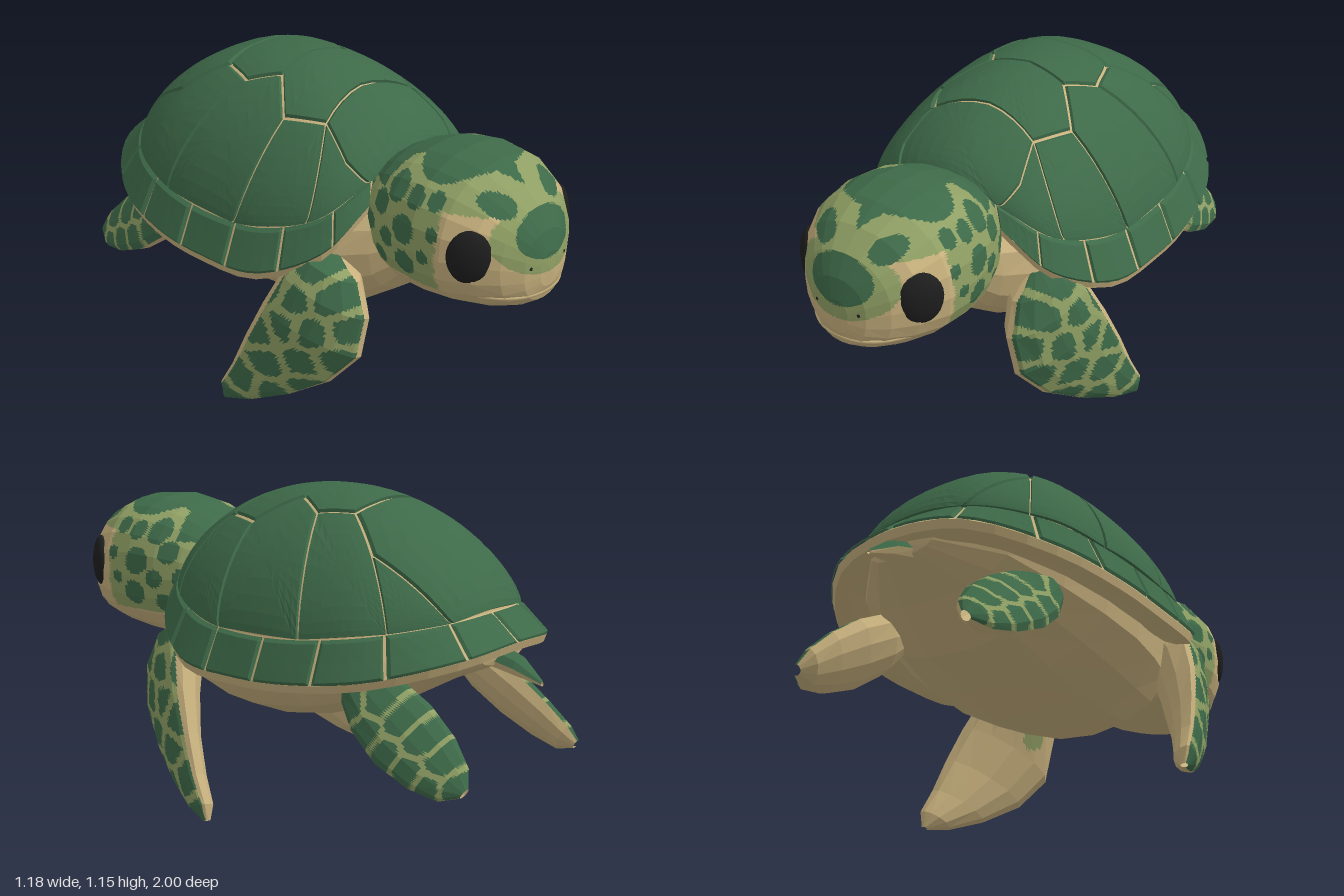
import * as THREE from 'three';

const V = (x, y, z) => new THREE.Vector3(x, y, z);
const lerp = (a, b, t) => a.clone().lerp(b, t);
const steps = (n, f) => Array.from({ length: n + 1 }, (_, k) => f(k / n));

// Faceted skin over rows of points; rule(p, row, column) picks a material per small triangle
function skin(name, rows, mats, { rule = null, n = 1, ref = null } = {}) {
  if (!ref) {
    ref = V(0, 0, 0);
    const all = rows.flat();
    all.forEach(p => ref.addScaledVector(p, 1 / all.length));
  }
  const tris = [];
  for (let i = 0; i < rows.length - 1; i++) {
    for (let j = 0; j < rows[0].length - 1; j++) {
      const [a, b, c, d] = [[i, j], [i + 1, j], [i + 1, j + 1], [i, j + 1]].map(([r, s]) => ({ p: rows[r][s], r, s }));
      tris.push([a, b, c], [a, c, d]);
    }
  }
  const solid = tris.filter(([a, b, c]) => b.p.clone().sub(a.p).cross(c.p.clone().sub(a.p)).length() > 1e-8);
  let volume = 0;
  for (const [a, b, c] of solid) {
    const [x, y, z] = [a, b, c].map(q => q.p.clone().sub(ref));
    volume += x.dot(y.cross(z));
  }
  const buckets = mats.map(() => []);
  for (const t of solid) {
    const [A, B, C] = volume < 0 ? [t[0], t[2], t[1]] : t;
    const at = (u, v) => ({
      p: A.p.clone().multiplyScalar(1 - (u + v) / n).addScaledVector(B.p, u / n).addScaledVector(C.p, v / n),
      r: A.r + ((B.r - A.r) * u + (C.r - A.r) * v) / n,
      s: A.s + ((B.s - A.s) * u + (C.s - A.s) * v) / n,
    });
    const put = (...q) => {
      const mid = k => (q[0][k] + q[1][k] + q[2][k]) / 3;
      const centre = q[0].p.clone().add(q[1].p).add(q[2].p).divideScalar(3);
      const k = rule ? rule(centre, mid('r'), mid('s')) : 0;
      q.forEach(e => buckets[k].push(e.p.x, e.p.y, e.p.z));
    };
    for (let u = 0; u < n; u++) {
      for (let v = 0; v < n - u; v++) {
        put(at(u, v), at(u + 1, v), at(u, v + 1));
        if (u + v < n - 1) put(at(u + 1, v), at(u + 1, v + 1), at(u, v + 1));
      }
    }
  }
  const geo = new THREE.BufferGeometry();
  geo.setAttribute('position', new THREE.Float32BufferAttribute(buckets.flat(), 3));
  let start = 0;
  buckets.forEach((b, k) => {
    if (b.length) geo.addGroup(start, b.length / 3, k);
    start += b.length / 3;
  });
  geo.computeVertexNormals();
  const mesh = new THREE.Mesh(geo, rule ? mats : mats[0]);
  mesh.name = name;
  return mesh;
}

// Rounded section: top and bottom may differ, power > 2 is boxier
function section(z, hx, cy, top, bottom, count, power) {
  const bend = v => Math.sign(v) * Math.abs(v) ** (2 / power);
  return steps(count, t => {
    const a = t * Math.PI * 2, s = bend(Math.sin(a));
    return V(hx * bend(Math.cos(a)), cy + s * (s > 0 ? top - cy : cy - bottom), z);
  });
}

// True on the light seams between cells around the seed points
function onSeam(seeds, a, b, width) {
  const d = seeds.map(([x, y]) => Math.hypot(a - x, b - y)).sort((p, q) => p - q);
  return d[1] - d[0] < width;
}

export function createModel() {
  const model = new THREE.Group();
  model.name = 'turtle';
  const paint = (name, color, side = THREE.FrontSide) => {
    const m = new THREE.MeshStandardMaterial({ color, side });
    m.name = name;
    return m;
  };
  const dark = paint('dark green', 0x3e6a49), light = paint('light green', 0x8f9f64);
  const tan = paint('tan', 0xc8b17e, THREE.DoubleSide), black = paint('black', 0x1e1e1e);
  const DARK = 0, LIGHT = 1, TAN = 2, skinMats = [dark, light, tan];

  // Shell outlines, from front centre round the left side to the back
  const ring = half => new THREE.CatmullRomCurve3(
    [...half, ...half.slice(1, -1).reverse().map(([x, y, z]) => [-x, y, z])].map(p => V(...p)), true);
  const base = ring([[0, 0.935, 0.37], [0.21, 0.87, 0.36], [0.36, 0.78, 0.3], [0.46, 0.71, 0.12], [0.495, 0.69, -0.1],
    [0.485, 0.7, -0.35], [0.41, 0.73, -0.58], [0.23, 0.76, -0.75], [0, 0.77, -0.79]]);
  const outer = ring([[0, 0.91, 0.385], [0.25, 0.79, 0.39], [0.4, 0.66, 0.335], [0.53, 0.56, 0.14], [0.56, 0.545, -0.1],
    [0.555, 0.555, -0.35], [0.48, 0.59, -0.62], [0.27, 0.655, -0.85], [0, 0.68, -0.9]]);
  const core = V(0, 0.68, -0.15);
  const dome = (u, v, lift = 0) => {
    const r = Math.hypot(u, v) * Math.PI / 2, t = (Math.atan2(u, v) / (2 * Math.PI) + 1) % 1;
    const b = base.getPoint(t), s = Math.sin(r), c = Math.max(0, Math.cos(r)) ** 1.45;
    const p = V(b.x * s, b.y + (1.138 - b.y) * c, core.z + (b.z - core.z) * s);
    return p.addScaledVector(p.clone().sub(core).normalize(), lift);
  };

  // Tan bed that shows in the seams, and the rim with its thick underside
  model.add(skin('shellBed', steps(14, r => steps(48, t =>
    dome(r * Math.sin(t * 2 * Math.PI), r * Math.cos(t * 2 * Math.PI)))), [tan], { ref: core }));
  const rim = [t => base.getPoint(t), t => outer.getPoint(t),
    t => lerp(outer.getPoint(t), core, 0.015).add(V(0, -0.03, 0)),
    t => lerp(outer.getPoint(t), core, 0.1).add(V(0, -0.04, 0)),
    t => lerp(outer.getPoint(t), core, 0.35).add(V(0, -0.01, 0))];
  model.add(skin('shellRim', rim.map(f => steps(48, f)), [tan], { ref: core }));

  // Scutes on the dome, as polygons on a unit disc (front is +v)
  const edge = k => [1.02 * Math.sin(k * Math.PI / 8), 1.02 * Math.cos(k * Math.PI / 8)];
  const N = [edge(0.95), [0.36, 0.6], [0.28, 0.36], [0.37, 0.17], [0.2, 0.03], [0.28, -0.09], [0.2, -0.21], [0.34, -0.4], edge(7.15)];
  const R = [edge(2.3), edge(3.6), edge(5), edge(6.25)];
  const flip = poly => poly.map(([u, v]) => [-u, v]);
  const scute = (name, poly) => {
    const c = [0, 1].map(k => poly.reduce((s, p) => s + p[k], 0) / poly.length);
    const border = poly.flatMap((p, i) => {
      const q = poly[(i + 1) % poly.length];
      return steps(8, t => [p[0] + (q[0] - p[0]) * t, p[1] + (q[1] - p[1]) * t]).slice(0, -1);
    });
    border.push(border[0]);
    const rows = [0, 0.2, 0.4, 0.6, 0.8, 0.95, 0.98].map((f, k) => border.map(([u, v]) =>
      dome(c[0] + (u - c[0]) * f, c[1] + (v - c[1]) * f, k === 6 ? 0.001 : 0.012)));
    model.add(skin(name, rows, [dark], { ref: core }));
  };
  for (const k of [0, 2, 4, 6]) {
    const half = N.slice(k, k + 3);
    scute('centreScute', [...half, ...flip(half).reverse()]);
  }
  const costals = [[N[0], N[1], N[2], R[0]], [R[0], N[2], N[3], R[1]], [R[1], N[3], N[4], N[5], R[2]],
    [R[2], N[5], N[6], N[7], R[3]], [R[3], N[7], N[8]]];
  costals.forEach(poly => { scute('leftScute', poly); scute('rightScute', flip(poly)); });

  // Plates round the rim
  const plates = 18;
  for (let i = 0; i < plates; i++) {
    const rows = [0.03, 0.1, 0.5, 0.9, 0.99].map((s, a) => [0.02, 0.06, 0.28, 0.5, 0.72, 0.94, 0.98].map((f, b) => {
      const t = (i + f) / plates, p = lerp(base.getPoint(t), outer.getPoint(t), s);
      const lift = a % 4 && b % 6 ? 0.014 : 0.002;
      return p.addScaledVector(p.clone().sub(core).normalize(), lift);
    }));
    model.add(skin('rimPlate', rows, [dark], { ref: core }));
  }

  // Belly and neck
  const belly = [[0.54, 0.02, 0.66, 0.68, 0.64], [0.52, 0.17, 0.68, 0.82, 0.56], [0.42, 0.26, 0.64, 0.84, 0.43],
    [0.3, 0.35, 0.62, 0.82, 0.345], [0.12, 0.42, 0.62, 0.82, 0.31], [-0.06, 0.46, 0.62, 0.82, 0.31], [-0.26, 0.46, 0.62, 0.82, 0.345],
    [-0.46, 0.42, 0.63, 0.8, 0.41], [-0.66, 0.33, 0.65, 0.74, 0.52], [-0.84, 0.14, 0.65, 0.69, 0.6], [-0.86, 0.01, 0.65, 0.66, 0.64]];
  model.add(skin('belly', belly.map(s => section(...s, 16, 2.25)), [tan]));

  // Head
  const headRows = [[0.33, 0.01, 0.75, 0.76, 0.74], [0.34, 0.2, 0.76, 0.93, 0.56], [0.42, 0.25, 0.76, 0.98, 0.52], [0.52, 0.285, 0.76, 1.02, 0.505],
    [0.64, 0.3, 0.76, 1.04, 0.515], [0.76, 0.29, 0.76, 1.03, 0.53], [0.86, 0.245, 0.76, 0.985, 0.545], [0.93, 0.18, 0.75, 0.92, 0.565],
    [0.975, 0.11, 0.735, 0.85, 0.595], [0.995, 0.05, 0.72, 0.78, 0.65], [1, 0.001, 0.715, 0.716, 0.714]].map(s => section(...s, 24, 2.3));
  const cheekSpots = [[0.7, 0.94, 0.03], [0.72, 0.84, 0.025], [0.6, 0.82, 0.05], [0.52, 0.76, 0.035], [0.61, 0.7, 0.045], [0.47, 0.86, 0.04],
    [0.48, 0.67, 0.035], [0.53, 0.93, 0.045], [0.41, 0.77, 0.035], [0.62, 0.93, 0.035], [0.69, 0.75, 0.025]];
  const inOval = (a, b, ra, rb) => (a / ra) ** 2 + (b / rb) ** 2 < 1;
  model.add(skin('head', headRows, skinMats, { n: 8, rule: p => {
    const x = Math.abs(p.x);
    if (p.z > 0.8 && inOval(x, p.y - 0.84, 0.125, 0.08)) return DARK;
    if (p.z > 0.78 && inOval(x - 0.125, p.y - 0.945, 0.052, 0.036)) return DARK;
    if (p.y > 0.93 && (inOval(x, p.z - 0.65, 0.2, 0.14) || (p.z > 0.7 && x < (0.87 - p.z) * 0.55))) return DARK;
    if (p.y > 0.9 && (p.z < 0.52 - x * 0.3 || (x < 0.1 && p.z < 0.65))) return DARK;
    if (x > 0.17 && cheekSpots.some(([z, y, r]) => Math.hypot(p.z - z, p.y - y) < r)) return DARK;
    if (p.z > 0.8 && inOval(x, p.y - 0.83, 0.2, 0.12)) return LIGHT;
    return p.y > 0.92 || (p.z < 0.74 && p.y > 0.63) ? LIGHT : TAN;
  } }));

  // Lip along the mouth
  const lipHalf = [[0.2, 0.635, 0.86], [0.143, 0.63, 0.928], [0.077, 0.628, 0.97]];
  const lipPath = new THREE.CatmullRomCurve3([...lipHalf, [0, 0.628, 0.983],
    ...lipHalf.map(([x, y, z]) => [-x, y, z]).reverse()].map(p => V(...p)));
  const lip = new THREE.Mesh(new THREE.TubeGeometry(lipPath, 20, 0.008, 6), tan);
  lip.name = 'lip';
  model.add(lip);

  // Flippers: spine points [x, y, z, half width, half thickness], patterned outside, tan and fuller inside
  const flipper = (name, side, spine, across, seeds, width, tanEdge) => {
    const U = V(...across).normalize(), first = spine[1], last = spine[spine.length - 1];
    const L = V(last[0] - first[0], last[1] - first[1], last[2] - first[2]);
    const W = U.clone().cross(L).normalize();
    const rows = spine.map(([x, y, z, w, h]) => steps(12, t => {
      const s = Math.sin(t * 2 * Math.PI);
      const p = V(x, y, z).addScaledVector(U, w * Math.cos(t * 2 * Math.PI)).addScaledVector(W, h * s * (s < 0 ? 1.6 : 1));
      p.x *= side;
      return p;
    }));
    model.add(skin(name, rows, skinMats, { n: 8, rule: (p, r, s) => {
      const a = (s / 12) * 2 * Math.PI, inner = Math.sin(a) < tanEdge;
      if (inner) return r < 3 && Math.sin(a) < -0.3 && Math.hypot(p.z - 0.32, p.y - 0.4) < 0.04 ? LIGHT : TAN;
      return onSeam(seeds, p.z, p.y, width) ? LIGHT : DARK;
    } }));
  };
  const frontSpine = [[0.32, 0.64, 0.31, 0.03, 0.03], [0.35, 0.6, 0.325, 0.12, 0.075], [0.385, 0.5, 0.34, 0.17, 0.075], [0.425, 0.36, 0.31, 0.195, 0.065],
    [0.47, 0.23, 0.235, 0.17, 0.05], [0.515, 0.12, 0.14, 0.115, 0.04], [0.55, 0.045, 0.05, 0.065, 0.03], [0.565, 0.005, 0.005, 0.01, 0.01]];
  const frontCells = [[0.33, 0.62], [0.41, 0.52], [0.28, 0.5], [0.2, 0.52], [0.46, 0.4], [0.35, 0.38], [0.25, 0.39], [0.17, 0.35], [0.42, 0.27],
    [0.31, 0.25], [0.2, 0.22], [0.31, 0.13], [0.2, 0.09], [0.1, 0.13], [0.03, 0.03]];
  const rearSpine = [[0.32, 0.57, -0.43, 0.03, 0.02], [0.33, 0.54, -0.49, 0.09, 0.05], [0.335, 0.48, -0.56, 0.12, 0.052], [0.345, 0.4, -0.68, 0.135, 0.05],
    [0.35, 0.325, -0.8, 0.115, 0.042], [0.355, 0.27, -0.89, 0.075, 0.032], [0.355, 0.25, -0.935, 0.02, 0.012]];
  const rearCells = [[-0.5, 0.48], [-0.6, 0.51], [-0.58, 0.4], [-0.69, 0.46], [-0.66, 0.34], [-0.77, 0.4], [-0.75, 0.3], [-0.85, 0.34],
    [-0.83, 0.26], [-0.91, 0.26]];
  for (const [word, side] of [['left', 1], ['right', -1]]) {
    flipper(word + 'FrontFlipper', side, frontSpine, [-0.45, -0.42, 0.8], frontCells, 0.028, 0.3);
    flipper(word + 'RearFlipper', side, rearSpine, [0.62, -0.7, 0.42], rearCells, 0.018, 0);

    // Eye and nostril
    const eye = new THREE.Mesh(new THREE.SphereGeometry(1, 16, 12), black);
    eye.name = word + 'Eye';
    eye.scale.set(0.08, 0.098, 0.036);
    eye.position.set(0.228 * side, 0.785, 0.842);
    eye.rotation.y = 0.88 * side;
    const nostril = new THREE.Mesh(new THREE.SphereGeometry(0.007, 8, 6), black);
    nostril.name = word + 'Nostril';
    nostril.position.set(0.085 * side, 0.74, 0.98);
    model.add(eye, nostril);
  }

  // Tail
  const tail = [[-0.7, 0.07, 0.65, 0.7, 0.6], [-0.82, 0.06, 0.625, 0.665, 0.585], [-0.91, 0.045, 0.6, 0.635, 0.565], [-1, 0.008, 0.555, 0.563, 0.545]];
  model.add(skin('tail', tail.map(s => section(...s, 8, 2)), skinMats, { rule: (p, r, s) => (s < 4 ? DARK : TAN) }));
  return model;
}
